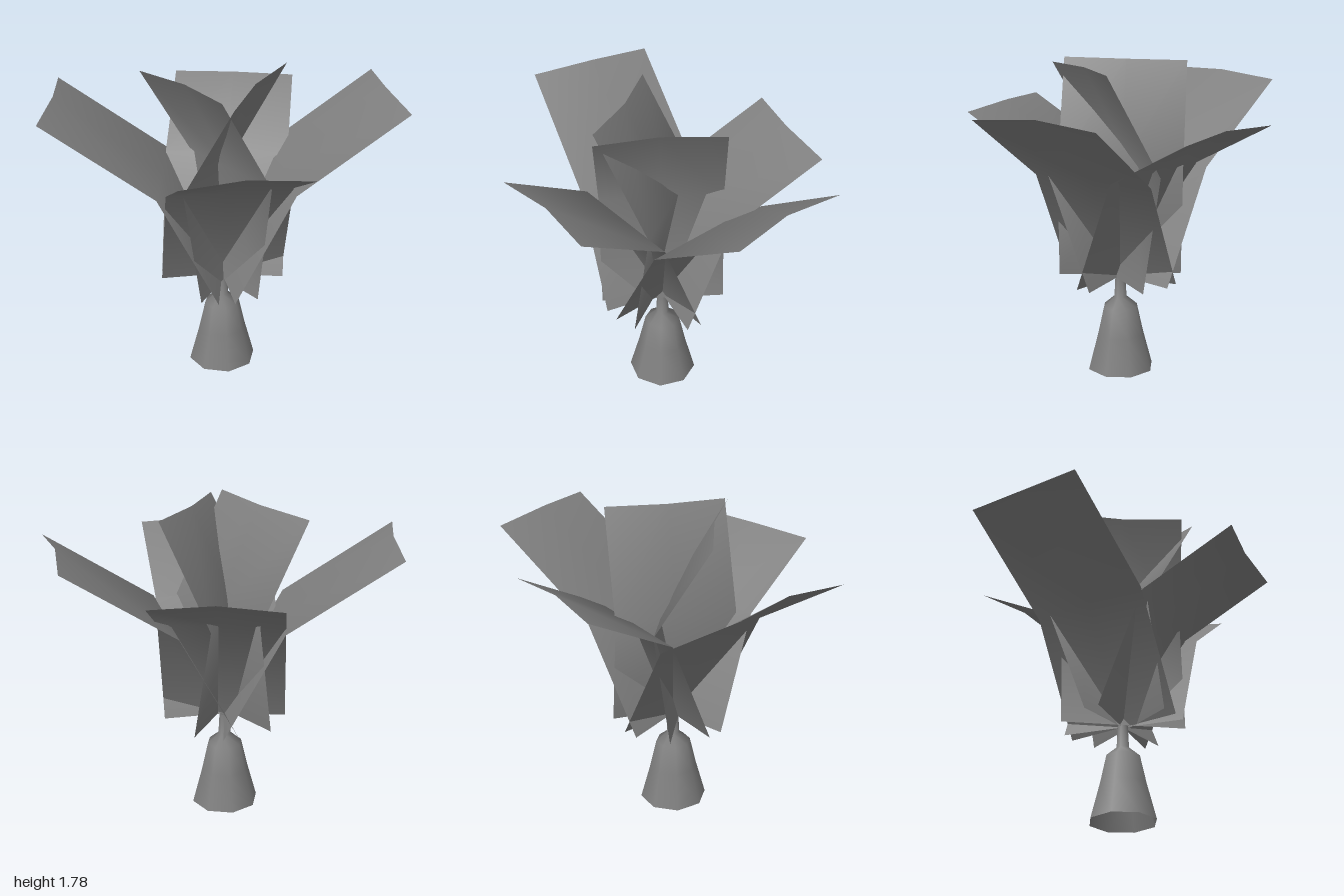
import * as THREE from 'three';

const grey = new THREE.MeshStandardMaterial({ color: 0x808080, side: THREE.DoubleSide });
grey.name = 'mid grey';

const HALF_WIDTH = 0.35;

// Bent sheet, three points wide. Each row: [reach, height, sideways shift, roll, bow inwards, bow upwards].
// dir is the horizontal outward direction as [x, z].
function leaf(name, dir, rows) {
  const len = Math.hypot(dir[0], dir[1]);
  const dx = dir[0] / len, dz = dir[1] / len;
  const positions = [], index = [];
  rows.forEach(([reach, y, shift = 0, roll = 0, bowIn = 0, bowUp = 0], i) => {
    for (let j = -1; j <= 1; j++) {
      const r = reach - (j === 0 ? bowIn : 0);
      const s = j * HALF_WIDTH + shift;
      positions.push(dx * r - dz * s, y + j * roll + (j === 0 ? bowUp : 0), dz * r + dx * s);
    }
    if (i === 0) return;
    for (let j = 0; j < 2; j++) {
      const a = (i - 1) * 3 + j, b = a + 3;
      index.push(a, a + 1, b + 1, a, b + 1, b);
    }
  });
  const geometry = new THREE.BufferGeometry();
  geometry.setAttribute('position', new THREE.Float32BufferAttribute(positions, 3));
  geometry.setIndex(index);
  geometry.computeVertexNormals();
  const mesh = new THREE.Mesh(geometry, grey);
  mesh.name = name;
  return mesh;
}

export function createModel() {
  const model = new THREE.Group();
  model.name = 'leafyPlant';
  model.position.set(0.045, 0, 0.025);

  // Eight-sided base with a thin stem, open underneath
  const profile = [[0.193, 0], [0.137, 0.21], [0.1, 0.375], [0.037, 0.43], [0.03, 0.56]];
  const base = new THREE.Mesh(
    new THREE.LatheGeometry(profile.map(([r, y]) => new THREE.Vector2(r, y)), 8), grey);
  base.name = 'baseAndStem';
  model.add(base);

  // Long leaves to the sides
  const long = [[0, 0.555], [0.335, 1.19], [0.955, 1.61, 0, 0, 0.03, 0.025]];
  model.add(leaf('leftLeaf', [1, 0], long));
  model.add(leaf('rightLeaf', [-0.965, -0.26], long));

  // Shorter leaves to the front and back
  const short = [[0, 0.555], [0.26, 1.205], [0.785, 1.495, 0, 0, 0.03, 0.018]];
  model.add(leaf('backLeaf', [0.295, -0.955], short));
  model.add(leaf('frontLeaf', [-0.05, 0.999], short));

  // Upright inner leaves, dipping inwards before they flare
  model.add(leaf('innerLeftLeaf', [0.8, 0.6],
    [[0.035, 0.555], [-0.07, 1.2], [0.24, 1.767, 0.027, -0.012, 0.035, 0.004]]));
  model.add(leaf('innerRightLeaf', [-0.88, 0.47],
    [[0.035, 0.555], [-0.055, 1.21], [0.265, 1.767, 0.04, -0.012, 0.035, 0.004]]));

  return model;
}
